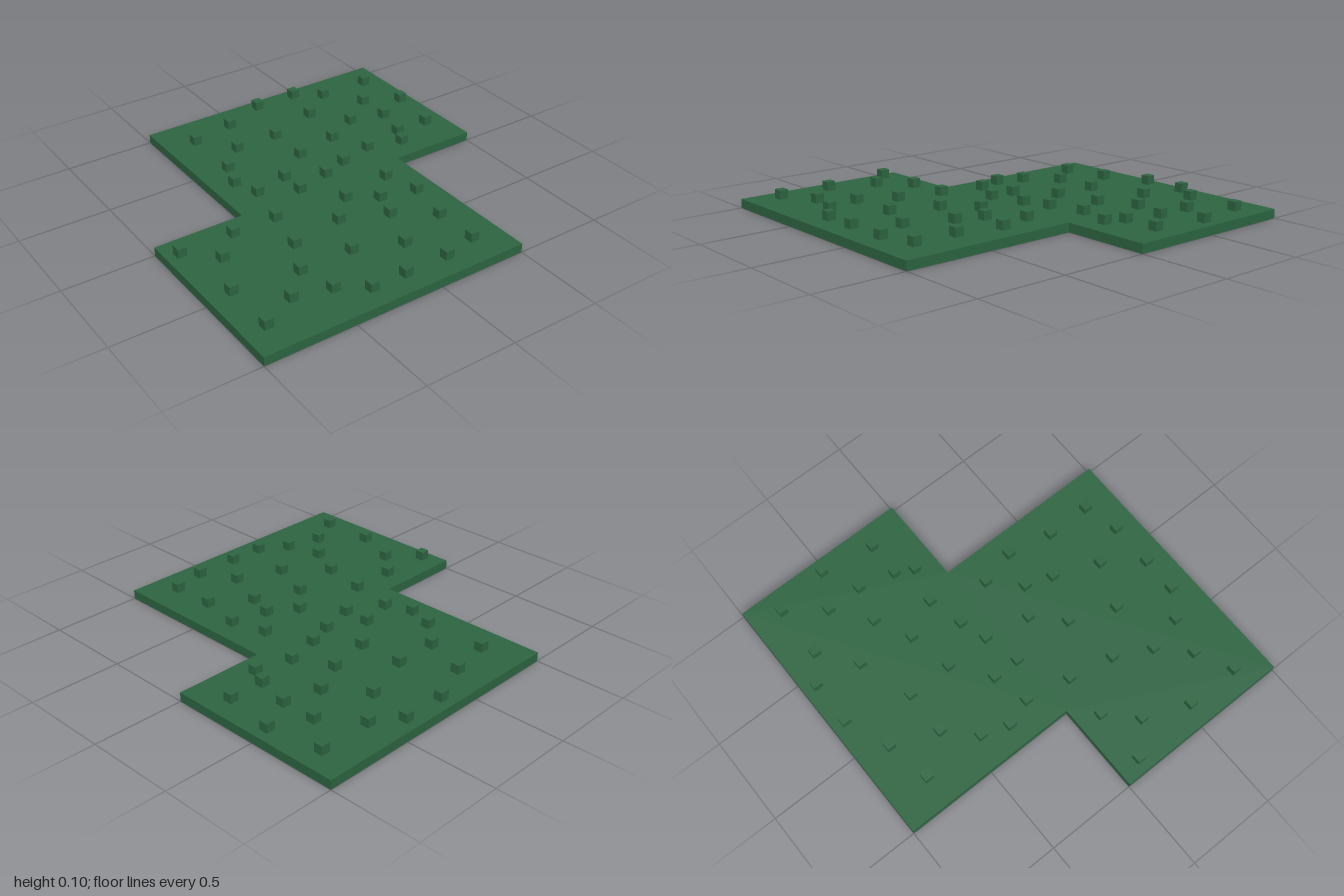
import * as THREE from 'three';

const THICK = 0.05; // slab height and cube size

// Rows of studs: z centre, then the x centres in that row
const ROWS = [
  [-0.925, 0.175, 0.425],
  [-0.825, -0.075, 0.575, 0.875],
  [-0.775, -0.325],
  [-0.675, 0.375],
  [-0.625, 0.725],
  [-0.575, -0.175, 0.075],
  [-0.525, 0.925],
  [-0.475, 0.525],
  [-0.425, -0.325, 0.725],
  [-0.375, 0.325],
  [-0.325, 0.075],
  [-0.275, -0.375],
  [-0.225, 0.675, 0.875],
  [-0.175, -0.125, 0.425],
  [-0.125, -0.325, 0.225, 0.625],
  [-0.075, 0.075],
  [-0.025, -0.125],
  [0.125, -0.925, -0.625, -0.375, 0.325],
  [0.175, 0.025],
  [0.275, -0.775, 0.175],
  [0.325, -0.125, 0.375],
  [0.375, -0.425],
  [0.425, 0.125],
  [0.525, -0.875],
  [0.575, -0.525, -0.225, 0.325],
  [0.675, 0.025],
  [0.725, -0.675],
  [0.775, -0.475],
  [0.825, -0.875, 0.325],
  [0.875, -0.325, -0.125, 0.125],
];

export function createModel() {
  const model = new THREE.Group();
  model.name = 'studdedSlab';
  const green = new THREE.MeshStandardMaterial({ color: 0x2d6541 });
  green.name = 'dark green';

  // Stepped slab: outline drawn in x and -z, then laid flat
  const outline = new THREE.Shape([
    [-1, -1], [0.5, -1], [0.5, 0], [1, 0],
    [1, 1], [-0.5, 1], [-0.5, 0], [-1, 0],
  ].map(([x, y]) => new THREE.Vector2(x, y)));
  const slabGeometry = new THREE.ExtrudeGeometry(outline, { depth: THICK, bevelEnabled: false });
  slabGeometry.rotateX(-Math.PI / 2);
  const slab = new THREE.Mesh(slabGeometry, green);
  slab.name = 'slab';
  model.add(slab);

  // Small cubes scattered over the top
  const studs = new THREE.Group();
  studs.name = 'studs';
  const cube = new THREE.BoxGeometry(THICK, THICK, THICK);
  for (const [z, ...xs] of ROWS) {
    for (const x of xs) {
      const stud = new THREE.Mesh(cube, green);
      stud.name = 'stud';
      stud.position.set(x, THICK * 1.5, z);
      studs.add(stud);
    }
  }
  model.add(studs);
  return model;
}
